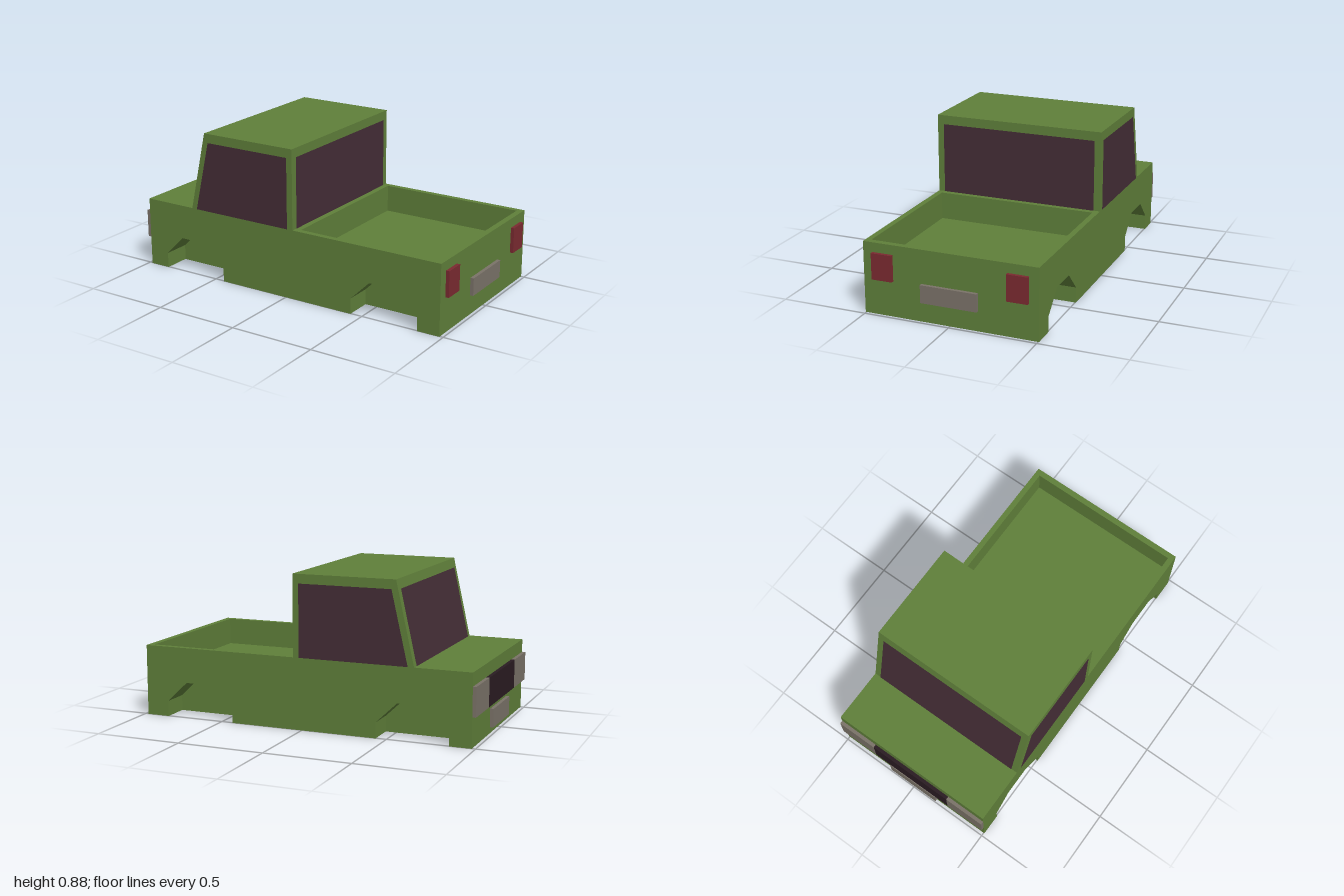
import * as THREE from 'three';

const paint = (color) => new THREE.MeshStandardMaterial({ color, flatShading: true });
const green = paint(0x5f7f3a);
const glass = paint(0x442d36);
glass.side = THREE.DoubleSide;
const red = paint(0x7a2a30);
const grey = paint(0x7a7268);
const dark = paint(0x2a1c22);

const HALF_LENGTH = 0.98, HALF_WIDTH = 0.505, DECK = 0.41, BED_FLOOR = 0.25, WELL_Z = 0.345;

const polygon = (points) => new THREE.Shape(points.map(([x, y]) => new THREE.Vector2(x, y)));
const extrude = (shape, depth) => new THREE.ExtrudeGeometry(shape, { depth, bevelEnabled: false });

export function createModel() {
  const truck = new THREE.Group();
  truck.name = 'pickupTruck';

  const add = (name, geometry, material, x = 0, y = 0, z = 0) => {
    const mesh = new THREE.Mesh(geometry, material);
    mesh.name = name;
    mesh.position.set(x, y, z);
    truck.add(mesh);
    return mesh;
  };
  // box given by its limits on each axis
  const addBox = (name, material, [x0, x1], [y0, y1], [z0, z1]) =>
    add(name, new THREE.BoxGeometry(x1 - x0, y1 - y0, z1 - z0), material,
      (x0 + x1) / 2, (y0 + y1) / 2, (z0 + z1) / 2);

  // lower body: solid core between the wheel wells
  addBox('chassis', green, [-HALF_LENGTH, HALF_LENGTH], [0, BED_FLOOR], [-WELL_Z, WELL_Z]);

  // lower sides with angular wheel arches cut from below
  const arch = (c) => [[-0.208, 0], [-0.208, 0.09], [-0.09, 0.207], [0.085, 0.207], [0.208, 0.09], [0.208, 0]]
    .map(([x, y]) => [c + x, y]);
  const sideShape = polygon([
    [-HALF_LENGTH, 0], ...arch(-0.647), ...arch(0.637),
    [HALF_LENGTH, 0], [HALF_LENGTH, BED_FLOOR], [-HALF_LENGTH, BED_FLOOR],
  ]);
  const sideGeometry = extrude(sideShape, HALF_WIDTH - WELL_Z);
  add('leftOrRightSideFront', sideGeometry, green, 0, 0, WELL_Z).name = 'lowerSideFront';
  add('lowerSideBack', sideGeometry, green, 0, 0, -HALF_WIDTH);

  // upper body with the open cargo bed
  const rectangle = (x0, x1, z) => [[x0, -z], [x1, -z], [x1, z], [x0, z]];
  const upperShape = polygon(rectangle(-HALF_LENGTH, HALF_LENGTH, HALF_WIDTH));
  upperShape.holes.push(polygon(rectangle(0.085, 0.945, 0.472)));
  const upperGeometry = extrude(upperShape, DECK - BED_FLOOR).rotateX(-Math.PI / 2);
  add('upperBody', upperGeometry, green, 0, BED_FLOOR, 0);

  // cab with raked windscreen
  const cabShape = polygon([[-0.655, DECK], [0.05, DECK], [0.05, 0.875], [-0.55, 0.875]]);
  add('cab', extrude(cabShape, HALF_WIDTH * 2), green, 0, 0, -HALF_WIDTH);

  // flush glass
  const sideGlass = new THREE.ShapeGeometry(
    polygon([[-0.62, DECK], [0.015, DECK], [0.015, 0.822], [-0.525, 0.822]]));
  for (const side of [1, -1]) {
    add(side > 0 ? 'sideWindowFront' : 'sideWindowBack', sideGlass, glass, 0, 0, side * (HALF_WIDTH + 0.002));
  }
  const glassHeight = 0.822 - DECK, glassMid = (0.822 + DECK) / 2;
  const rearGlass = new THREE.PlaneGeometry(0.934, glassHeight).rotateY(Math.PI / 2);
  add('rearWindow', rearGlass, glass, 0.052, glassMid, 0);
  const rake = Math.atan2(0.105, 0.465);
  const screen = new THREE.PlaneGeometry(0.934, glassHeight / Math.cos(rake))
    .rotateY(-Math.PI / 2).rotateZ(-rake);
  add('windscreen', screen, glass, -0.655 + (glassMid - DECK) * Math.tan(rake) - 0.002, glassMid, 0);

  // nose and tail fittings
  const nose = [-1, -HALF_LENGTH], tail = [HALF_LENGTH, 1];
  addBox('grille', dark, nose, [0.17, 0.335], [-0.26, 0.26]);
  addBox('noseplate', grey, nose, [0.035, 0.14], [-0.163, 0.163]);
  addBox('tailplate', grey, tail, [0.115, 0.217], [-0.163, 0.163]);
  for (const side of [1, -1]) {
    const span = (a, b) => (side > 0 ? [a, b] : [-b, -a]);
    addBox('headlight', grey, nose, [0.17, 0.335], span(0.26, HALF_WIDTH));
    addBox('tailLight', red, tail, [0.205, 0.355], span(0.33, 0.45));
  }
  return truck;
}
